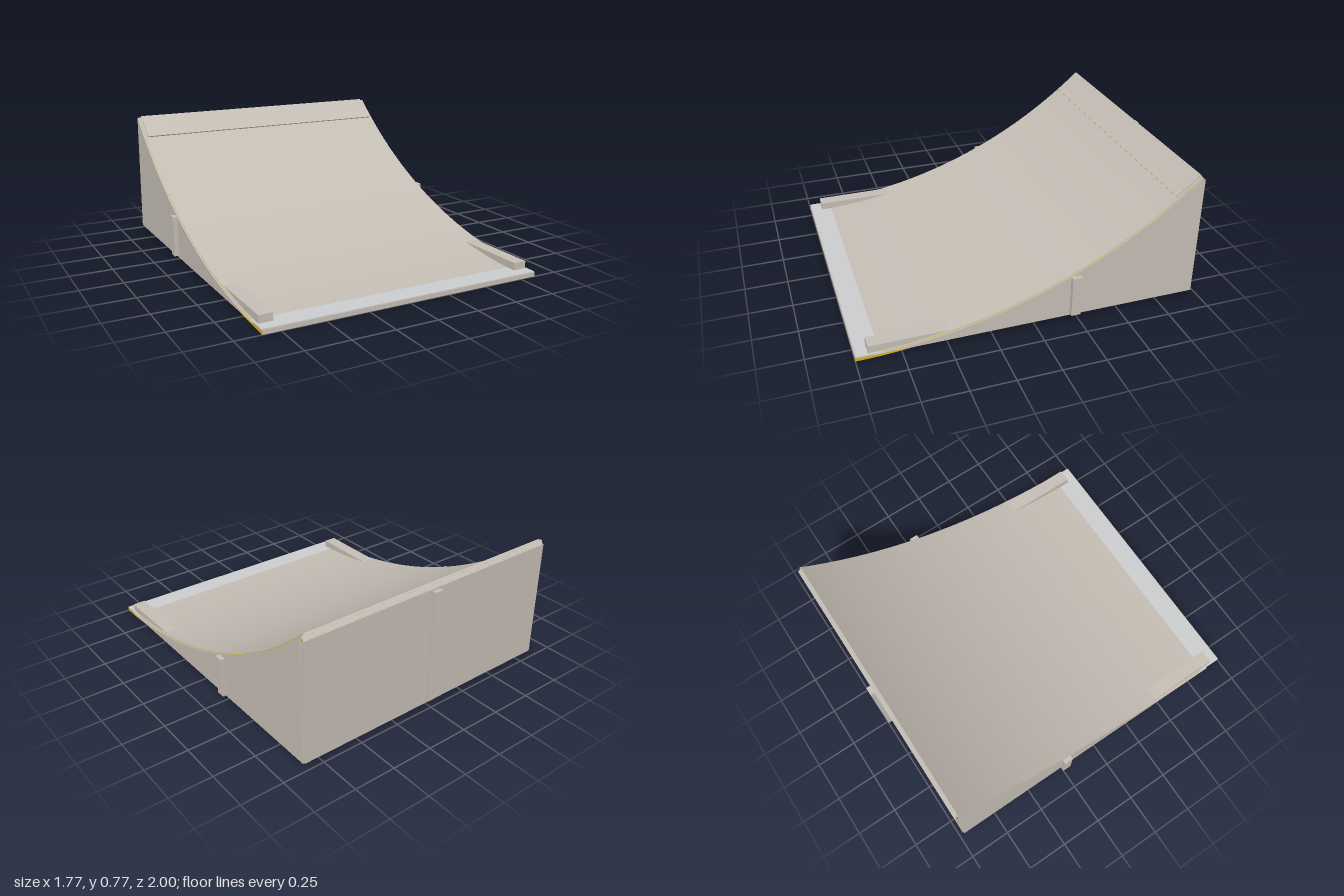
import * as THREE from 'three';
import { toCreasedNormals } from 'three/addons/utils/BufferGeometryUtils.js';

const STEPS = 40;
const RADIUS = 2.977;

// height of the underside of the riding surface at depth z
const under = (z) => 0.002 + RADIUS - Math.sqrt(RADIUS * RADIUS - (1 - z) ** 2);

// point on the curve, pushed outward along its normal by t
function curvePoint(z, t) {
  const slope = Math.asin((1 - z) / RADIUS);
  return new THREE.Vector2(z + t * Math.sin(slope), under(z) + t * Math.cos(slope));
}

function curve(z0, z1, t, floor = -1) {
  const pts = [];
  for (let i = 0; i <= STEPS; i++) {
    const p = curvePoint(z0 + ((z1 - z0) * i) / STEPS, t);
    p.y = Math.max(p.y, floor);
    pts.push(p);
  }
  return pts;
}

// extrudes a (z, y) outline across x, centred on x
function slab(points, width, x = 0) {
  const g = new THREE.ExtrudeGeometry(new THREE.Shape(points), {
    depth: width, bevelEnabled: false, curveSegments: 1,
  });
  g.translate(0, 0, -width / 2);
  g.rotateY(-Math.PI / 2);
  g.translate(x, 0, 0);
  return toCreasedNormals(g, 0.4);
}

function boxBetween(x0, x1, y0, y1, z0, z1) {
  const g = new THREE.BoxGeometry(x1 - x0, y1 - y0, z1 - z0);
  g.translate((x0 + x1) / 2, (y0 + y1) / 2, (z0 + z1) / 2);
  return g;
}

export function createModel() {
  const model = new THREE.Group();
  const material = (name, color) => {
    const m = new THREE.MeshStandardMaterial({ color });
    m.name = name;
    return m;
  };
  const warmGrey = material('warmGrey', 0xc4bdb4);
  const steel = material('steel', 0xcbcccd);
  const yellow = material('yellow', 0xd6ae1e);

  const add = (name, geometry, mat) => {
    const mesh = new THREE.Mesh(geometry, mat);
    mesh.name = name;
    model.add(mesh);
  };

  // curved riding surface with painted side edges
  const deck = [...curve(1, -0.97, 0), ...curve(1, -0.97, 0.026).reverse()];
  add('deck', slab(deck, 1.7), [yellow, warmGrey]);

  // steel entry plate at the foot
  add('entryPlate', boxBetween(-0.852, 0.852, 0.022, 0.031, 0.845, 0.995), steel);

  // raised plate along the upper edge
  const topPlate = [...curve(-0.835, -0.972, 0.02), ...curve(-0.835, -0.972, 0.034).reverse()];
  add('topPlate', slab(topPlate, 1.67), warmGrey);

  // closed back with its central stiffener
  add('backPanel', boxBetween(-0.85, 0.85, 0.026, 0.745, -0.975, -0.96), warmGrey);
  add('backRib', boxBetween(-0.025, 0.025, 0.05, 0.735, -1, -0.97), warmGrey);

  for (const [side, s] of [['left', 1], ['right', -1]]) {
    const mirrored = (x0, x1, ...rest) =>
      boxBetween(Math.min(s * x0, s * x1), Math.max(s * x0, s * x1), ...rest);

    // side wall following the curve
    const wall = [
      new THREE.Vector2(-0.97, 0.026),
      new THREE.Vector2(0.9, 0.026),
      ...curve(0.88, -0.97, 0.023, 0.0265),
    ];
    add(side + 'SidePanel', slab(wall, 0.018, s * 0.85), warmGrey);

    // inner flange along the bottom of the wall
    add(side + 'BottomFlange', mirrored(0.785, 0.845, 0.026, 0.042, -0.95, 0.62), warmGrey);

    // outer stiffener and guide block at the foot
    add(side + 'SideRib', mirrored(0.855, 0.886, 0.037, 0.28, -0.257, -0.203), warmGrey);
    add(side + 'GuideBlock', mirrored(0.76, 0.84, 0.022, 0.075, 0.48, 0.93), warmGrey);
  }
  return model;
}
